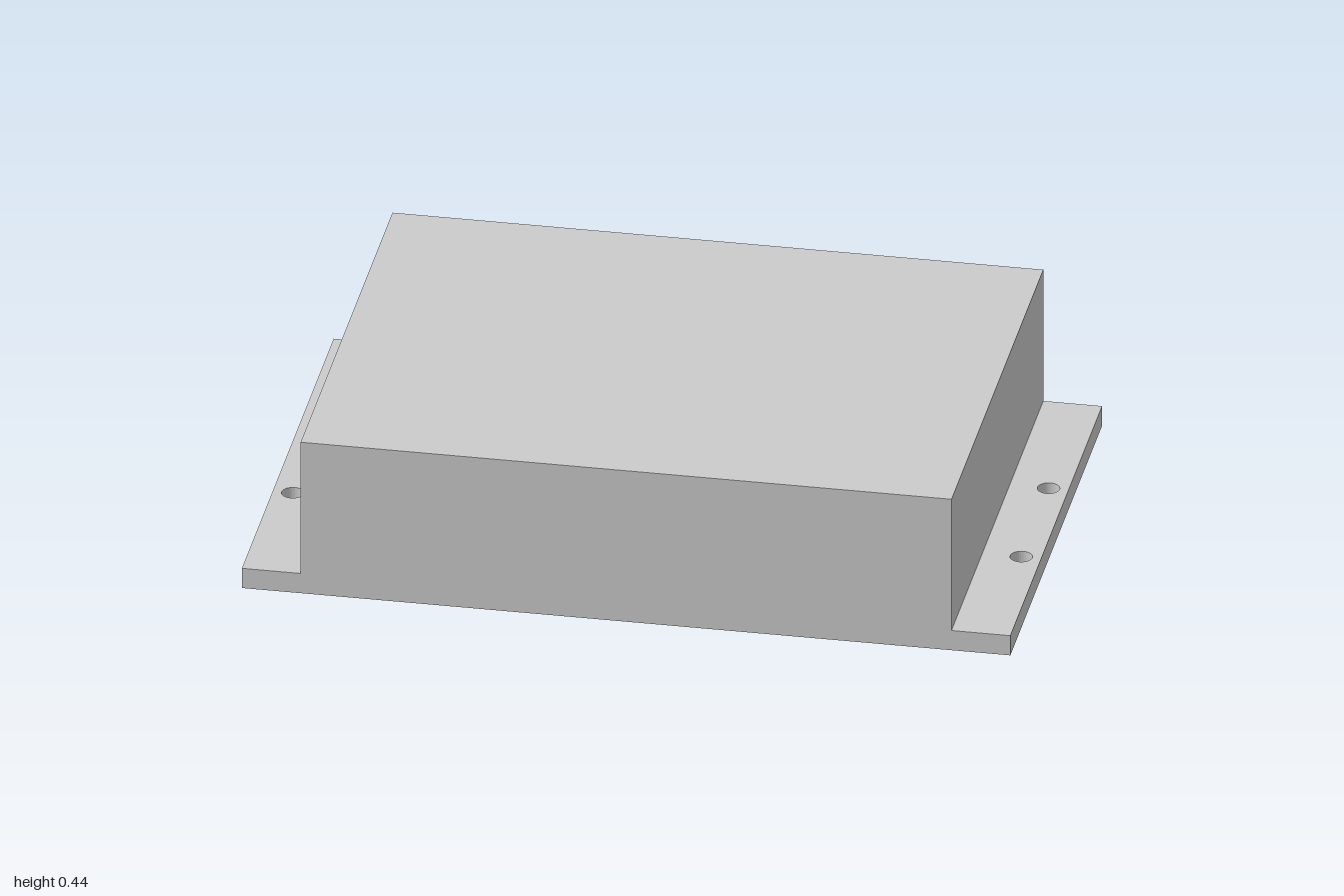
import * as THREE from 'three';

const FRONT = 0.64, BACK = -0.636;          // z of the housing faces
const BODY_X = 0.847, BODY_H = 0.437;       // half width and height of the housing
const FLANGE_H = 0.057, HOLE_R = 0.029;

export function createModel() {
  const group = new THREE.Group();
  const material = new THREE.MeshStandardMaterial({ color: 0xcccccc });
  const depth = FRONT - BACK, midZ = (FRONT + BACK) / 2;

  const add = (name, geometry, x = 0, y = 0, z = 0) => {
    const mesh = new THREE.Mesh(geometry, material);
    mesh.name = name;
    mesh.position.set(x, y, z);
    group.add(mesh);
  };

  // main housing
  add('housing', new THREE.BoxGeometry(BODY_X * 2, BODY_H, depth), 0, BODY_H / 2, midZ);

  // mounting flanges, each with two screw holes (shape y becomes -z)
  for (const [name, side] of [['leftFlange', 1], ['rightFlange', -1]]) {
    const x0 = Math.min(side, side * BODY_X), x1 = Math.max(side, side * BODY_X);
    const shape = new THREE.Shape([
      new THREE.Vector2(x0, -FRONT), new THREE.Vector2(x1, -FRONT),
      new THREE.Vector2(x1, -BACK), new THREE.Vector2(x0, -BACK),
    ]);
    for (const z of [-0.17, 0.21]) {
      shape.holes.push(new THREE.Path().absarc(side * 0.948, -z, HOLE_R, 0, Math.PI * 2, true));
    }
    const flange = new THREE.ExtrudeGeometry(shape, { depth: FLANGE_H, bevelEnabled: false, curveSegments: 16 });
    add(name, flange.rotateX(-Math.PI / 2));
  }

  // thin raised connector plates on the back: [x from, x to]
  const y0 = 0.058, y1 = 0.26, thick = 0.004;
  [[-0.78, -0.17], [-0.02, 0.15], [0.25, 0.76]].forEach(([a, b], i) => {
    add('connectorPlate' + (i + 1), new THREE.BoxGeometry(b - a, y1 - y0, thick),
      (a + b) / 2, (y0 + y1) / 2, BACK - thick / 2);
  });

  return group;
}
